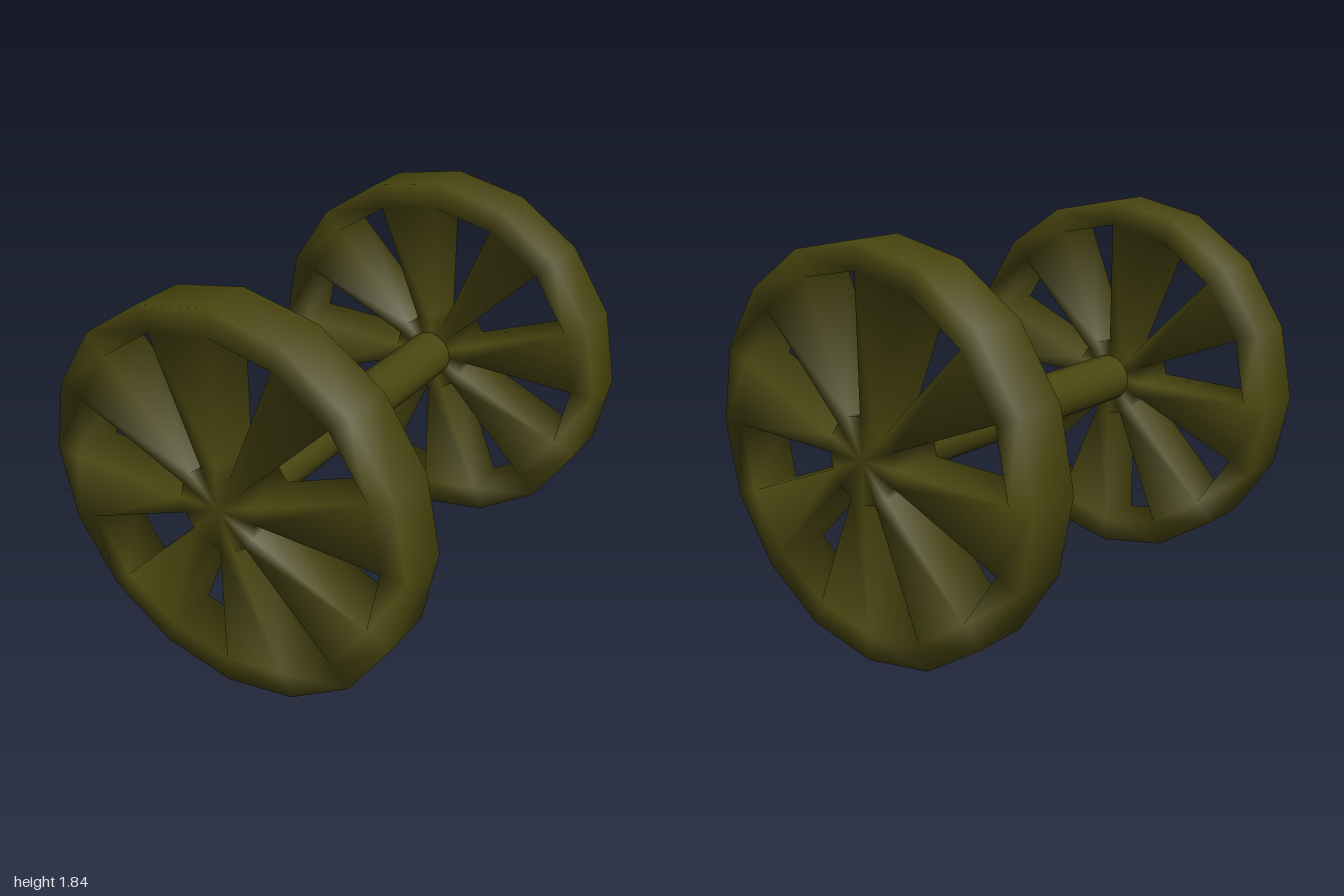
import * as THREE from 'three';

const SIDES = 16, AXLE_Y = 0.92;
const HUB = 0.196, RIM_IN = 0.795, RIM_OUT = 0.918, HALF_DEPTH = 0.122;

// One wheel with shared vertices, so the normals blend softly over the edges.
function wheelGeometry() {
  const radii = [HUB, RIM_IN, RIM_OUT];
  const points = [], index = [];
  for (const z of [HALF_DEPTH, -HALF_DEPTH]) {
    points.push(0, 0, z);
    for (const r of radii) {
      for (let i = 0; i < SIDES; i++) {
        const a = (i / SIDES) * Math.PI * 2;
        points.push(r * Math.cos(a), r * Math.sin(a), z);
      }
    }
  }
  const perFace = 1 + radii.length * SIDES;
  const front = (ring, i) => 1 + ring * SIDES + (i % SIDES);
  const back = (ring, i) => perFace + front(ring, i);
  const quad = (a, b, c, d) => index.push(a, b, c, a, c, d);

  // flat front and back between two rings
  const plate = (r, i) => {
    quad(front(r, i), front(r + 1, i), front(r + 1, i + 1), front(r, i + 1));
    quad(back(r, i + 1), back(r + 1, i + 1), back(r + 1, i), back(r, i));
  };
  for (let i = 0; i < SIDES; i++) {
    const j = i + 1;
    // hub discs
    index.push(0, front(0, i), front(0, j));
    index.push(perFace, back(0, j), back(0, i));
    // rim faces and tread
    plate(1, i);
    quad(front(2, i), back(2, i), back(2, j), front(2, j));
    if (i % 2 === 0) {
      // wedge spoke with its two side walls
      plate(0, i);
      quad(front(0, i), back(0, i), back(1, i), front(1, i));
      quad(front(1, j), back(1, j), back(0, j), front(0, j));
    } else {
      // opening: hub edge and inside of the rim
      quad(front(0, i), back(0, i), back(0, j), front(0, j));
      quad(front(1, j), back(1, j), back(1, i), front(1, i));
    }
  }
  const geometry = new THREE.BufferGeometry();
  geometry.setAttribute('position', new THREE.Float32BufferAttribute(points, 3));
  geometry.setIndex(index);
  geometry.computeVertexNormals();
  return geometry;
}

export function createModel() {
  const group = new THREE.Group();
  group.name = 'wheelPair';
  const material = new THREE.MeshStandardMaterial({ color: 0x4a4610 });

  // wheels at both ends
  const wheel = wheelGeometry();
  for (const side of [1, -1]) {
    const mesh = new THREE.Mesh(wheel, material);
    mesh.name = side > 0 ? 'frontWheel' : 'backWheel';
    mesh.position.set(0, AXLE_Y, side * (1 - HALF_DEPTH));
    group.add(mesh);
  }

  // axle between the hubs
  const length = 2 * (1 - 2 * HALF_DEPTH);
  const axle = new THREE.Mesh(
    new THREE.CylinderGeometry(0.118, 0.118, length, SIDES, 1, true).rotateX(Math.PI / 2),
    material
  );
  axle.name = 'axle';
  axle.position.y = AXLE_Y;
  group.add(axle);

  return group;
}
